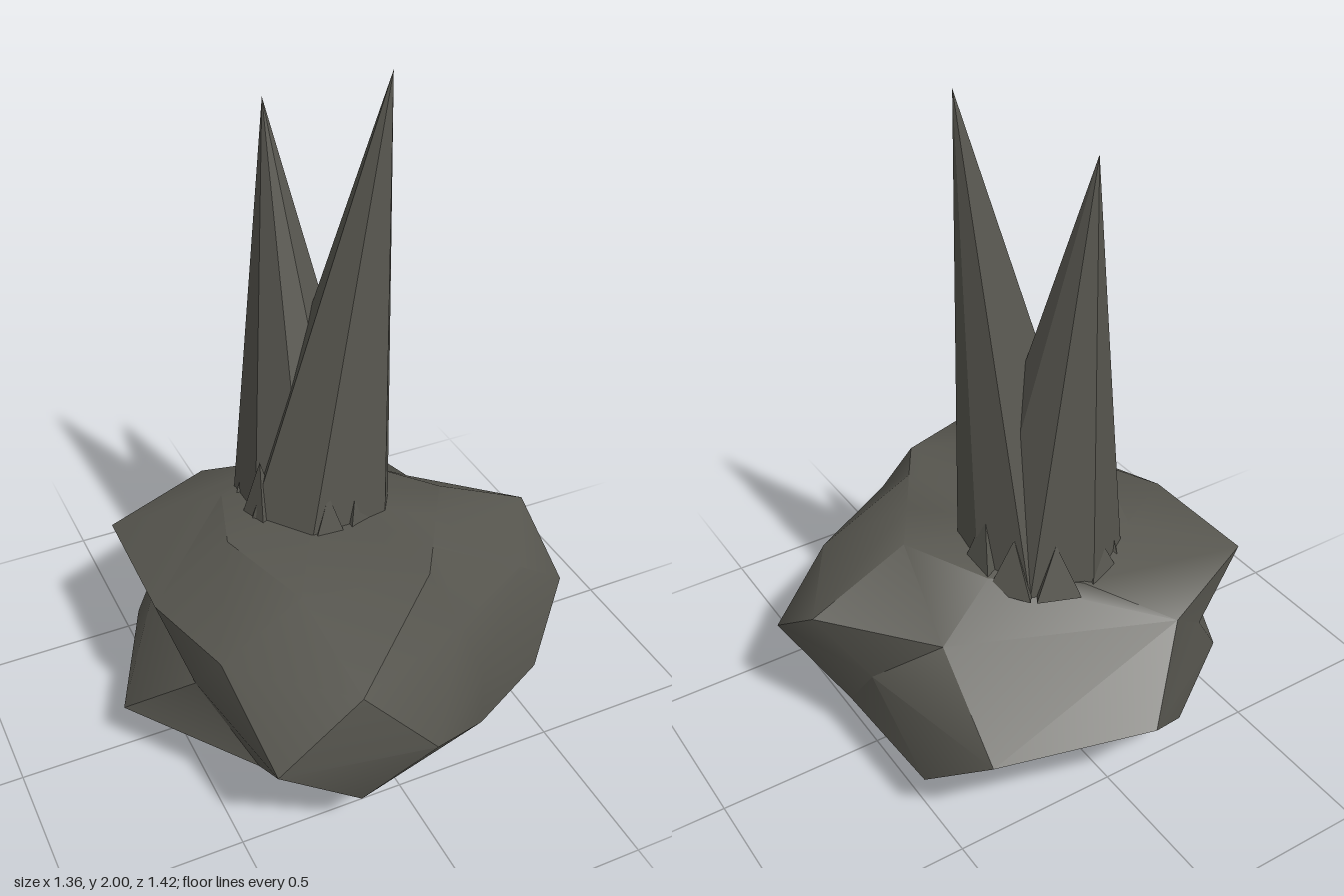
import * as THREE from 'three';
import { toCreasedNormals } from 'three/addons/utils/BufferGeometryUtils.js';

const stone = new THREE.MeshStandardMaterial({ color: 0x57564f });
stone.name = 'dark stone';

// Skin a stack of rings (top to bottom, each running from +x towards +z), closed by end points.
// flip(ring, column) picks which way a quad is split.
function loft(top, rings, bottom, flip = () => false) {
  const pos = [];
  const tri = (...pts) => pts.forEach((p) => pos.push(...p));
  const n = rings[0].length;
  for (let i = 0; i < n; i++) {
    const j = (i + 1) % n;
    tri(top, rings[0][j], rings[0][i]);
    for (let r = 0; r < rings.length - 1; r++) {
      const up = rings[r], low = rings[r + 1];
      const turned = flip(r, i);
      tri(up[i], up[j], turned ? low[j] : low[i]);
      tri(turned ? up[i] : up[j], low[j], low[i]);
    }
    const last = rings[rings.length - 1];
    tri(bottom, last[i], last[j]);
  }
  const geo = new THREE.BufferGeometry();
  geo.setAttribute('position', new THREE.Float32BufferAttribute(pos, 3));
  geo.computeVertexNormals();
  return geo;
}

function addMesh(group, name, geo) {
  const mesh = new THREE.Mesh(geo, stone);
  mesh.name = name;
  group.add(mesh);
}

// Faceted spike from a flat (x, z) outline up to a tip
function spike(tip, outline, y) {
  const ring = outline.map(([x, z]) => [x, y, z]);
  const cx = outline.reduce((s, p) => s + p[0], 0) / outline.length;
  const cz = outline.reduce((s, p) => s + p[1], 0) / outline.length;
  return loft(tip, [ring], [cx, y, cz]);
}

export function createModel() {
  const model = new THREE.Group();
  model.name = 'spiredRock';

  // Boulder cross-sections, from the upper rim down to the underside
  const rim = [
    [0.36, 0.67, 0.03], [0.27, 0.68, 0.17], [0.19, 0.69, 0.3], [0.12, 0.7, 0.41], [-0.23, 0.67, 0.32],
    [-0.33, 0.69, 0.03], [-0.25, 0.66, -0.22], [0, 0.63, -0.35], [0.22, 0.64, -0.2],
  ];
  const shoulder = [
    [0.66, 0.53, 0.03], [0.48, 0.53, 0.32], [0.19, 0.54, 0.48], [-0.2, 0.57, 0.65], [-0.47, 0.51, 0.31],
    [-0.56, 0.53, 0.03], [-0.555, 0.54, -0.37], [-0.2, 0.53, -0.53], [0.4, 0.51, -0.25],
  ];
  const waist = [
    [0.55, 0.36, -0.1], [0.68, 0.36, 0.25], [0.25, 0.36, 0.52], [0, 0.36, 0.71], [-0.44, 0.36, 0.63],
    [-0.51, 0.36, 0.2], [-0.38, 0.36, -0.42], [0, 0.36, -0.71], [0.45, 0.36, -0.59],
  ];
  const skirt = [
    [0.56, 0.18, 0.03], [0.51, 0.19, 0.4], [0.25, 0.18, 0.53], [-0.2, 0.19, 0.65], [-0.41, 0.19, 0.42],
    [-0.68, 0.18, 0.03], [-0.5, 0.18, -0.36], [-0.2, 0.19, -0.57], [0.54, 0.18, -0.37],
  ];
  const underside = [
    [0.3, 0.1, 0.03], [0.28, 0.09, 0.3], [0.15, 0.08, 0.36], [-0.1, 0.07, 0.37], [-0.3, 0.1, 0.3],
    [-0.37, 0.11, 0.03], [-0.33, 0.1, -0.33], [-0.13, 0.03, -0.34], [0.28, 0.09, -0.3],
  ];
  const boulder = loft([0, 0.67, -0.08], [rim, shoulder, waist, skirt, underside], [0, 0, 0.03],
    (ring, column) => ring === 1 && column !== 5 && column !== 6);
  addMesh(model, 'boulder', toCreasedNormals(boulder, Math.PI / 5));

  // Two tall spires that merge at their feet
  addMesh(model, 'tallSpire', spike([0.185, 2, -0.005], [
    [0.2, 0], [0.15, 0.08], [0.05, 0.1], [-0.1, 0.09], [-0.24, -0.06], [-0.16, -0.26], [0.14, -0.29], [0.21, -0.13],
  ], 0.6));
  addMesh(model, 'shortSpire', spike([-0.06, 1.87, -0.28], [
    [0.21, -0.13], [0.2, 0.01], [0.04, 0.1], [-0.1, 0.08], [-0.21, -0.06], [-0.2, -0.26], [-0.03, -0.36], [0.14, -0.29],
  ], 0.58));

  // Small shards around the foot of the spires: angle in degrees, tip height
  const shards = [
    [72, 0.82], [100, 0.79], [35, 0.76], [-5, 0.81], [-35, 0.77], [-70, 0.76], [-110, 0.76], [-145, 0.78], [165, 0.86],
  ];
  shards.forEach(([deg, height]) => {
    const a = THREE.MathUtils.degToRad(deg);
    const at = (r, t) => [r * Math.cos(a + t), -0.12 + 1.05 * r * Math.sin(a + t)];
    const [x, z] = at(0.19, 0);
    addMesh(model, 'shard', spike([x, height, z], [at(0.24, -0.27), at(0.24, 0.27), at(0.13, 0.27), at(0.13, -0.27)], 0.6));
  });
  return model;
}
